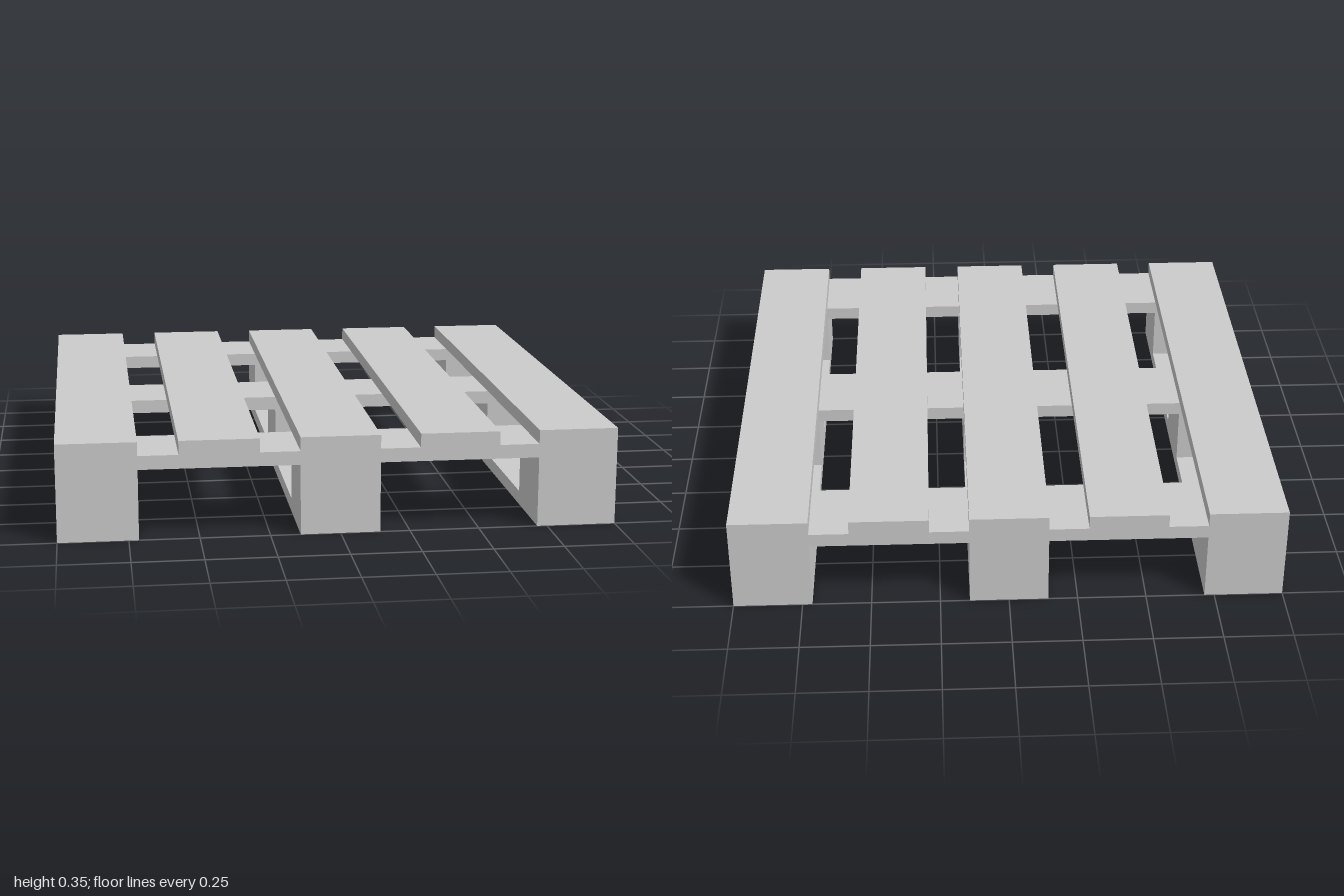
import * as THREE from 'three';

const W = 2 / 7;          // board and block width
const T = 0.05;           // board thickness
const BLOCK_H = 0.205;    // block height
const EDGE = 1 - W / 2;   // centre of the outermost boards

export function createModel() {
  const pallet = new THREE.Group();
  pallet.name = 'pallet';
  const material = new THREE.MeshStandardMaterial({ color: 0xcccccc, flatShading: true });

  // Box whose underside sits at height y
  const addBox = (name, w, h, d, x, y, z) => {
    const mesh = new THREE.Mesh(new THREE.BoxGeometry(w, h, d), material);
    mesh.name = name;
    mesh.position.set(x, y + h / 2, z);
    pallet.add(mesh);
  };

  const rows = [-EDGE, 0, EDGE];

  // Bottom runners with three spacer blocks on each
  for (const x of rows) {
    addBox('bottomRunner', W, T, 2, x, 0, 0);
    for (const z of rows) addBox('spacerBlock', W, BLOCK_H, W, x, T, z);
  }

  // Cross boards resting on the blocks
  for (const z of rows) addBox('crossBoard', 2, T, W, 0, T + BLOCK_H, z);

  // Five evenly spaced deck boards
  for (let i = -2; i <= 2; i++) {
    addBox('deckBoard', W, T, 2, (i * EDGE) / 2, 2 * T + BLOCK_H, 0);
  }

  return pallet;
}
